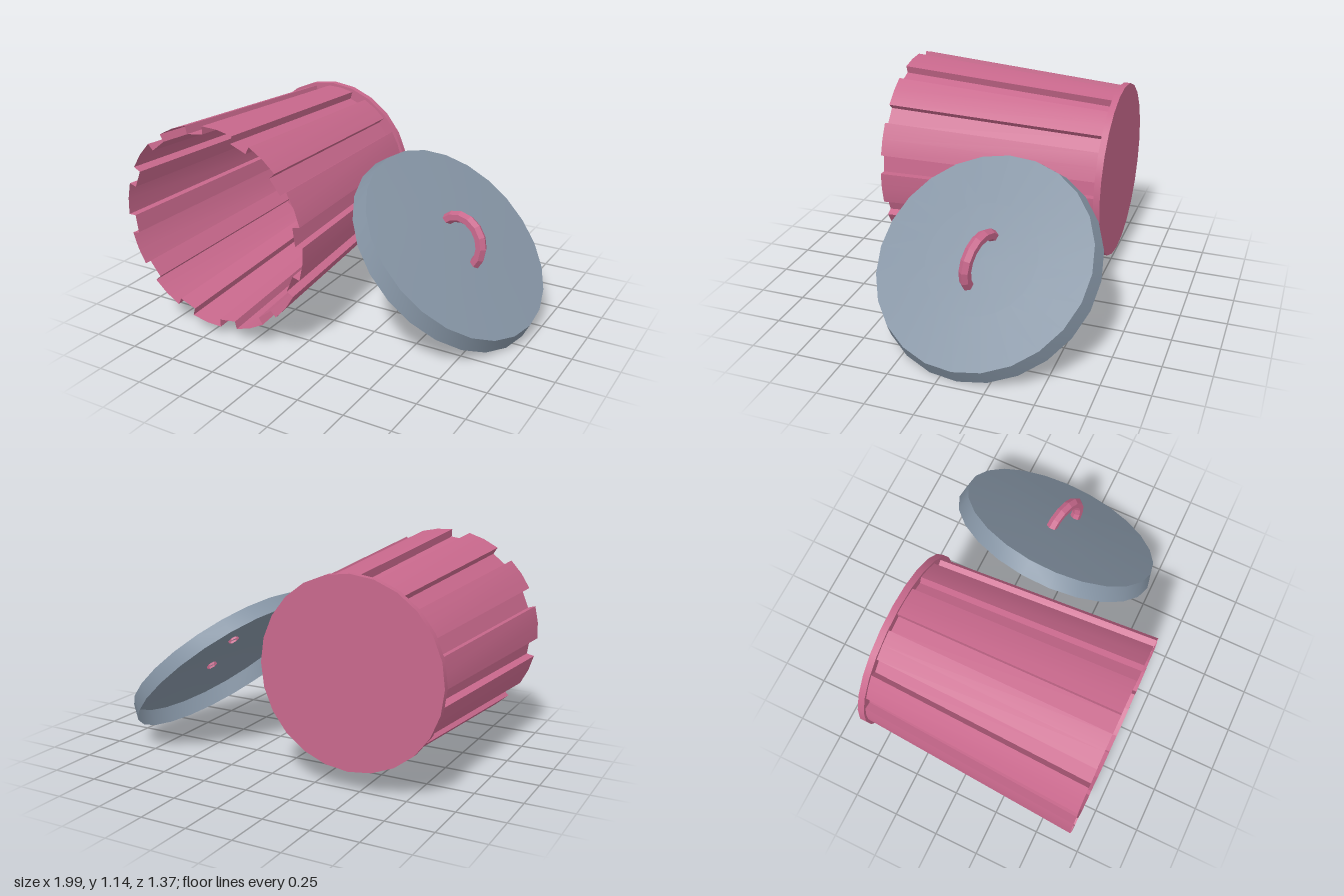
import * as THREE from 'three';
import { toCreasedNormals } from 'three/addons/utils/BufferGeometryUtils.js';

const RIBS = 12;

// Fluted tapering wall: raised ribs alternate with sunken grooves
function flutedWall(zFront, zBack, front, back) {
  const section = []; // [angle in degrees, is rib]
  for (let k = 0; k < RIBS; k++) {
    const a = 83 + (k * 360) / RIBS;
    section.push([a - 9.5, true], [a, true], [a + 9.5, true], [a + 9.5, false], [a + 20.5, false]);
  }
  const positions = [];
  const index = [];
  const n = section.length;
  section.forEach(([deg, rib], i) => {
    const a = THREE.MathUtils.degToRad(deg);
    const rf = rib ? front.rib : front.groove;
    const rb = rib ? back.rib : back.groove;
    positions.push(Math.cos(a) * rf, Math.sin(a) * rf, zFront);
    positions.push(Math.cos(a) * rb, Math.sin(a) * rb, zBack);
    const f = 2 * i, g = 2 * ((i + 1) % n);
    index.push(f, f + 1, g + 1, f, g + 1, g);
  });
  const geo = new THREE.BufferGeometry();
  geo.setAttribute('position', new THREE.Float32BufferAttribute(positions, 3));
  geo.setIndex(index);
  return toCreasedNormals(geo, 0.6);
}

export function createModel() {
  const model = new THREE.Group();
  model.name = 'trashCan';

  const pink = new THREE.MeshStandardMaterial({ color: 0xc8688c, side: THREE.DoubleSide });
  pink.name = 'pink';
  const handlePink = pink;
  const grey = new THREE.MeshStandardMaterial({ color: 0x8493a3, side: THREE.DoubleSide });
  grey.name = 'blue grey';

  const add = (parent, name, geo, mat) => {
    const mesh = new THREE.Mesh(geo, mat);
    mesh.name = name;
    parent.add(mesh);
    return mesh;
  };

  // Can lying on its side, mouth towards the front
  const can = new THREE.Group();
  can.name = 'can';
  can.position.set(-0.455, 0.606, 0);
  model.add(can);
  add(can, 'flutedWall', flutedWall(0.685, -0.51,
    { rib: 0.547, groove: 0.505 }, { rib: 0.47, groove: 0.428 }), pink);
  const base = add(can, 'base', new THREE.CylinderGeometry(0.488, 0.488, 0.035, 24), pink);
  base.rotation.x = Math.PI / 2;
  base.position.z = -0.5225;

  // Lid leaning against the can, open underneath
  const lid = new THREE.Group();
  lid.name = 'lid';
  const normal = new THREE.Vector3(0.67, 0.733, 0.11).normalize();
  const slope = new THREE.Vector3(normal.y, -normal.x, 0).normalize();
  const across = new THREE.Vector3().crossVectors(slope, normal);
  lid.quaternion.setFromRotationMatrix(new THREE.Matrix4().makeBasis(slope, normal, across));
  lid.position.set(0.505, 0.412, -0.093);
  model.add(lid);
  const profile = [[0.598, 0], [0.575, 0.088], [0.3, 0.1], [0, 0.104]]
    .map(([r, y]) => new THREE.Vector2(r, y));
  add(lid, 'lidShell', toCreasedNormals(new THREE.LatheGeometry(profile, 24), 0.6), grey);

  // Arched handle, faceted
  const handleGeo = toCreasedNormals(new THREE.TorusGeometry(0.14, 0.031, 6, 8, Math.PI), 0.1);
  const handle = add(lid, 'handle', handleGeo, handlePink);
  handle.position.set(0.01, 0.09, 0);
  handle.rotation.y = -0.23;

  return model;
}
